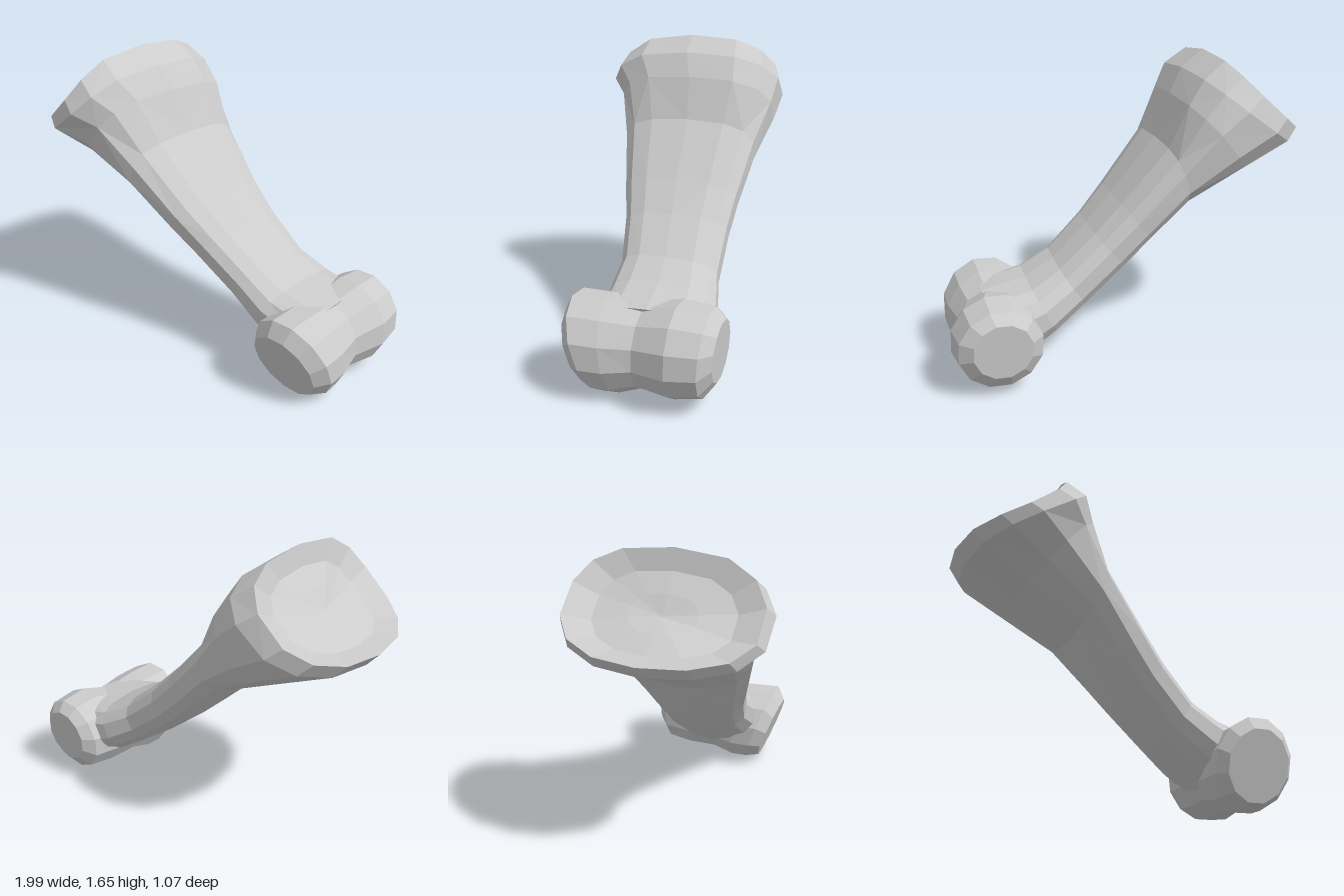
import * as THREE from 'three';

const SIDES = 14;
const AXIS = new THREE.Vector3(0.66, -0.75, 0); // from the socket end to the knuckle end

// Skin a list of rings (equal point counts) with flat facets
function loft(name, rings) {
  const n = rings[0].length;
  const pos = rings.flatMap(ring => ring.flatMap(p => [p.x, p.y, p.z]));
  const index = [];
  for (let i = 0; i < rings.length - 1; i++) {
    for (let j = 0; j < n; j++) {
      const k = (j + 1) % n;
      const a = i * n + j, b = i * n + k, c = b + n, d = a + n;
      // alternate the diagonal for an irregular faceted look
      if ((i + j) % 2) index.push(a, b, c, a, c, d);
      else index.push(a, b, d, b, c, d);
    }
  }
  const geometry = new THREE.BufferGeometry();
  geometry.setAttribute('position', new THREE.Float32BufferAttribute(pos, 3));
  geometry.setIndex(index);
  geometry.computeVertexNormals();
  const material = new THREE.MeshStandardMaterial({ color: 0xcccccc, flatShading: true });
  const mesh = new THREE.Mesh(geometry, material);
  mesh.name = name;
  return mesh;
}

const pointRing = (p, n) => Array.from({ length: n }, () => p.clone());
const centreOf = ring => ring.reduce((s, p) => s.add(p), new THREE.Vector3()).divideScalar(ring.length);

// Shaft section: squarish on the upper side, rounder below, sides pushed along the axis
function section([dx, dy, vx, vy, zMax, zMin, dipFront = 0, dipBack = 0]) {
  return Array.from({ length: SIDES }, (_, j) => {
    const a = (j / SIDES) * Math.PI * 2;
    const c = Math.cos(a), s = Math.sin(a);
    const power = c > 0 ? 0.72 : 0.92;
    const u = Math.sign(c) * Math.abs(c) ** power;
    const w = Math.sign(s) * Math.abs(s) ** power;
    const p = new THREE.Vector3(
      (dx + vx) / 2 + (u * (dx - vx)) / 2,
      (dy + vy) / 2 + (u * (dy - vy)) / 2,
      (zMax + zMin) / 2 + (w * (zMax - zMin)) / 2
    );
    return p.addScaledVector(AXIS, s * s * (s > 0 ? dipFront : dipBack));
  });
}

export function createModel() {
  const group = new THREE.Group();
  group.name = 'bone';

  // upper x, y, lower x, y, front z, back z, side dips
  const sections = [
    [-0.51, 1.66, -1.0, 1.23, 0.51, -0.46, 0.12, 0.04],
    [-0.38, 1.57, -0.94, 1.16, 0.535, -0.5, 0.08, 0.02],
    [-0.3, 1.44, -0.65, 1.03, 0.44, -0.49],
    [-0.21, 1.21, -0.31, 0.87, 0.35, -0.435],
    [0.05, 0.92, -0.12, 0.69, 0.26, -0.4],
    [0.2, 0.77, 0.02, 0.56, 0.2, -0.39],
    [0.4, 0.6, 0.25, 0.37, 0.14, -0.4],
    [0.56, 0.52, 0.42, 0.25, 0.14, -0.445],
    [0.8, 0.48, 0.6, 0.12, 0.12, -0.47]
  ].map(section);
  const last = sections[sections.length - 1];
  group.add(loft('shaft', [...sections, pointRing(centreOf(last), SIDES)]));

  // Hollow joint socket closing the wide end
  const rim = sections[0];
  const pit = centreOf(rim).addScaledVector(AXIS, 0.07);
  const inner = [0.35, 0.72].map((t, i) =>
    rim.map(p => pit.clone().lerp(p, t).addScaledVector(AXIS, i ? 0.035 : 0.01)));
  group.add(loft('jointSocket', [pointRing(pit, SIDES), ...inner, rim]));

  // Grooved double knuckle: z, slant, centre x, centre y, radius
  const knuckle = [
    [0.205, 0.36, 0.73, 0.22, 0.195],
    [0.13, 0.36, 0.74, 0.25, 0.247],
    [0.0, 0.15, 0.735, 0.25, 0.245],
    [-0.15, 0, 0.73, 0.26, 0.215],
    [-0.33, 0, 0.757, 0.28, 0.243],
    [-0.48, -0.05, 0.755, 0.285, 0.222],
    [-0.535, -0.05, 0.75, 0.3, 0.155]
  ].map(([z, slant, cx, cy, r]) => Array.from({ length: 12 }, (_, j) => {
    const a = ((j + 0.4) / 12) * Math.PI * 2;
    const y = cy + r * Math.cos(a);
    return new THREE.Vector3(cx + r * Math.sin(a), y, z + slant * (y - 0.25));
  }));
  const ends = [knuckle[0], knuckle[knuckle.length - 1]].map(r => pointRing(centreOf(r), 12));
  group.add(loft('knuckle', [ends[0], ...knuckle, ends[1]]));

  return group;
}
